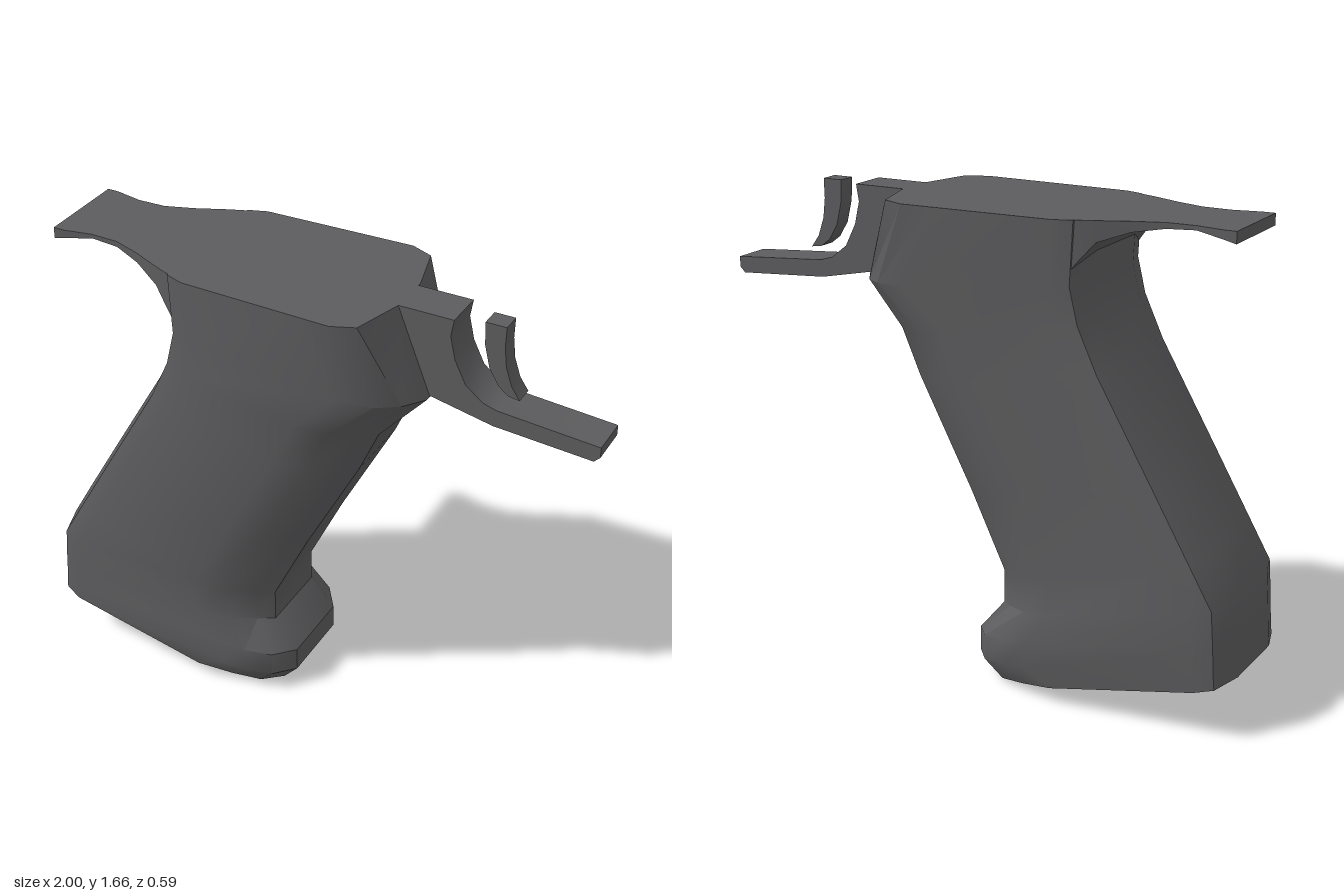
import * as THREE from 'three';
import { toCreasedNormals } from 'three/addons/utils/BufferGeometryUtils.js';

const ZC = -0.012; // the handle sits slightly off centre

// Skin a list of equal-length loops and cap both ends
function loft(loops, crease) {
  const n = loops[0].length, last = (loops.length - 1) * n, index = [];
  for (let s = 0; s < loops.length - 1; s++) {
    for (let i = 0; i < n; i++) {
      const a = s * n + i, b = s * n + (i + 1) % n;
      index.push(a, a + n, b, b, a + n, b + n);
    }
  }
  for (let i = 1; i < n - 1; i++) {
    index.push(0, i, i + 1, last, last + i + 1, last + i);
  }
  const geo = new THREE.BufferGeometry();
  geo.setAttribute('position', new THREE.Float32BufferAttribute(loops.flat(2), 3));
  geo.setIndex(index);
  return toCreasedNormals(geo, crease);
}

// Extrude an x-y outline between two z values
function plate(points, z0, z1) {
  const shape = new THREE.Shape(points.map(p => new THREE.Vector2(...p)));
  const geo = new THREE.ExtrudeGeometry(shape, { depth: z1 - z0, bevelEnabled: false });
  geo.translate(0, 0, z0);
  return toCreasedNormals(geo, 0.6);
}

// Half outlines of the rounded front, as [offset from front, half width]
const BODY = [[0, 0.135], [-0.05, 0.18], [-0.13, 0.24], [-0.24, 0.28]];
const SOLE = [[0, 0.13], [-0.06, 0.2], [-0.16, 0.24], [-0.28, 0.275]];
const TOE = [[0, 0.14], [-0.06, 0.22], [-0.15, 0.26], [-0.24, 0.28]];
const THROAT = [[0, 0.1], [-0.05, 0.18], [-0.12, 0.24], [-0.24, 0.28]];
const RIM = [[0, 0.08], [-0.05, 0.26], [-0.13, 0.293], [-0.24, 0.29]];
const BACK = [[0.1, 0.278], [0.035, 0.255], [0, 0.14]];

// One tilted cross-section of the handle, from its front and back points
function section([xf, yf, xb, yb, front]) {
  const half = [
    ...front.map(([d, z]) => [xf + d, z]),
    ...BACK.map(([d, z]) => [xb + d, z]),
  ];
  const mirrored = half.map(([x, z]) => [x, -z]).reverse();
  return [...half, ...mirrored].map(([x, z]) =>
    [x, yf + (yb - yf) * (xf - x) / (xf - xb), z + ZC]);
}

export function createModel() {
  const group = new THREE.Group();
  const darkGrey = new THREE.MeshStandardMaterial({ color: 0x5c5c5e });
  darkGrey.name = 'darkGrey';
  const add = (name, geo) => {
    const mesh = new THREE.Mesh(geo, darkGrey);
    mesh.name = name;
    group.add(mesh);
  };

  // Slanted handle with a flared toe: front x, front y, back x, back y, outline
  add('handle', loft([
    [-0.1, 0, -1, 0.19, SOLE],
    [-0.04, 0.07, -0.995, 0.24, TOE],
    [-0.04, 0.16, -0.99, 0.33, TOE],
    [-0.13, 0.27, -0.98, 0.46, BODY],
    [-0.13, 0.39, -0.9, 0.6, BODY],
    [0, 0.66, -0.76, 0.84, BODY],
    [0.2, 1.04, -0.56, 1.18, BODY],
    [0.27, 1.2, -0.49, 1.33, BODY],
    [0.42, 1.36, -0.46, 1.45, THROAT],
    [0.3, 1.66, -0.47, 1.66, RIM],
  ].map(section), 0.6));

  // Thin tang sweeping out of the back: x, underside y, half width
  add('tang', loft([
    [-0.38, 1.44, 0.265], [-0.45, 1.53, 0.245], [-0.5, 1.59, 0.225],
    [-0.6, 1.625, 0.18], [-0.7, 1.64, 0.145], [-0.8, 1.645, 0.142],
    [-0.9, 1.63, 0.162], [-0.94, 1.62, 0.162],
  ].map(([x, y, w]) => [
    [x, 1.66, ZC - w], [x, 1.66, ZC + w], [x, y, ZC + w], [x, y, ZC - w],
  ]), 0.6));

  // Curved guard reaching forward
  add('guard', plate([
    [0.28, 1.66], [0.4, 1.365], [0.42, 1.363], [0.64, 1.318], [0.98, 1.295],
    [1, 1.315], [1, 1.352], [0.65, 1.378], [0.6, 1.393], [0.54, 1.44],
    [0.5, 1.52], [0.482, 1.6], [0.492, 1.66],
  ], -0.077, 0.066));

  // Curved lever inside the guard
  add('lever', plate([
    [0.58, 1.66], [0.583, 1.58], [0.602, 1.5], [0.635, 1.445], [0.67, 1.418],
    [0.71, 1.412], [0.68, 1.455], [0.658, 1.52], [0.65, 1.59], [0.652, 1.66],
  ], -0.038, 0.03));

  return group;
}
